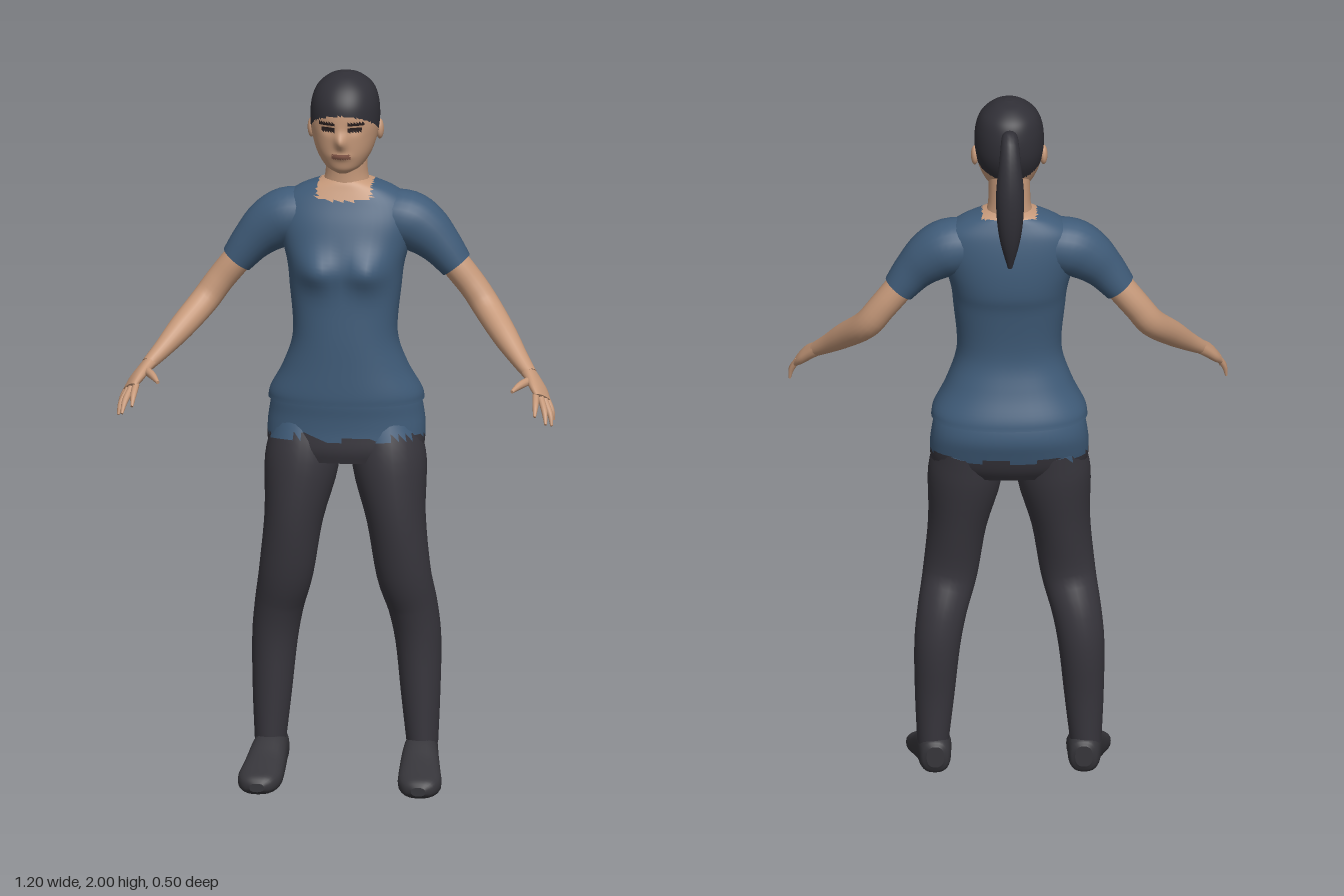
import * as THREE from 'three';

const mat = (name, color) => Object.assign(new THREE.MeshStandardMaterial({ color }), { name });
const V = (x, y, z) => new THREE.Vector3(x, y, z);

// Smooth loft through rows of [x, y, z, a, b]: b lies along ref, a across it.
// dir fixes the ring plane, warp moves points, paint picks a material per face.
function loft(rows, { ref = V(0, 0, 1), dir, exp = 2, segs = 20, steps = 4, warp, paint } = {}) {
  const path = new THREE.CatmullRomCurve3(rows.map(r => V(r[0], r[1], r[2])), false, 'catmullrom');
  const size = new THREE.CatmullRomCurve3(rows.map(r => V(r[3], r[4], 0)), false, 'catmullrom');
  const n = (rows.length - 1) * steps;
  const pos = [], tris = [];
  const bend = v => Math.sign(v) * Math.abs(v) ** (2 / exp);
  const addRing = i => {
    const t = i / n, c = path.getPoint(t), s = size.getPoint(t);
    const T = dir || path.getTangent(t);
    const B = ref.clone().addScaledVector(T, -ref.dot(T)).normalize();
    const N = B.clone().cross(T);
    for (let j = 0; j < segs; j++) {
      const q = j / segs * Math.PI * 2;
      const p = c.clone().addScaledVector(N, s.x * bend(Math.cos(q))).addScaledVector(B, s.y * bend(Math.sin(q)));
      if (warp) warp(p);
      pos.push(p.x, p.y, p.z);
    }
    return c;
  };
  for (let i = 0; i <= n; i++) addRing(i);
  for (let i = 0; i < n; i++) for (let j = 0; j < segs; j++) {
    const a = i * segs + j, b = i * segs + (j + 1) % segs;
    tris.push([a, b, a + segs], [b, b + segs, a + segs]);
  }
  for (const end of [0, n]) {
    const base = pos.length / 3, c = addRing(end), mid = base + segs;
    pos.push(c.x, c.y, c.z);
    for (let j = 0; j < segs; j++) {
      const a = base + j, b = base + (j + 1) % segs;
      tris.push(end ? [a, b, mid] : [b, a, mid]);
    }
  }
  const g = new THREE.BufferGeometry();
  g.setAttribute('position', new THREE.Float32BufferAttribute(pos, 3));
  if (paint) {
    const bins = [];
    for (const t of tris) {
      const m = [0, 1, 2].map(k => (pos[t[0] * 3 + k] + pos[t[1] * 3 + k] + pos[t[2] * 3 + k]) / 3);
      (bins[paint(...m)] ||= []).push(...t);
    }
    const index = [];
    bins.forEach((list, k) => {
      g.addGroup(index.length, list.length, k);
      for (const v of list) index.push(v);
    });
    g.setIndex(index);
  } else g.setIndex(tris.flat());
  g.computeVertexNormals();
  return g;
}

// Upright body section from rows of [y, halfWidth, zFront, zBack], top first
const upright = (rows, opts) => loft(
  rows.map(([y, w, f, b]) => [0, y, (f + b) / 2, w, (f - b) / 2]), { dir: V(0, -1, 0), ...opts });

export function createModel() {
  const root = new THREE.Group();
  root.name = 'standingWoman';
  const shirt = mat('shirtBlue', 0x3f5b78), trousers = mat('trousersCharcoal', 0x38363d);
  const hair = mat('hairBlack', 0x302f36), shoe = mat('shoeCharcoal', 0x36353a);
  const skin = mat('skin', 0xc6997a), dark = mat('eyeDark', 0x2a2020), lip = mat('lipBrown', 0x87594a);
  const add = (name, geo, material, parent = root) => {
    const m = new THREE.Mesh(geo, material);
    m.name = name;
    parent.add(m);
    return m;
  };

  // Head: hairline, eyes, brows and lips are painted face by face
  add('head', upright([
    [1.999, .012, -.04, -.066], [1.988, .045, -.002, -.108], [1.96, .077, .034, -.145],
    [1.92, .092, .058, -.16], [1.87, .095, .064, -.162], [1.83, .09, .061, -.152],
    [1.79, .078, .058, -.13], [1.76, .062, .052, -.11], [1.742, .044, .045, -.075], [1.73, .02, .03, -.035],
  ], {
    segs: 72, steps: 8, exp: 2.1,
    warp: p => {
      if (p.z < 0) return;
      p.z += .022 * Math.exp(-((p.x / .014) ** 2) - ((p.y - 1.825) / .022) ** 2);   // nose
      p.z -= .007 * Math.exp(-(((Math.abs(p.x) - .036) / .018) ** 2) - ((p.y - 1.858) / .014) ** 2); // sockets
      p.z += .006 * Math.exp(-((p.x / .025) ** 2) - ((p.y - 1.782) / .01) ** 2);    // lips
    },
    paint: (x, y, z) => {
      const ax = Math.abs(x);
      if (y > 1.83 + (z + .06) * .55) return 1;
      if (z > 0 && ax > .02 && ax < .054 && y > 1.852 && y < 1.864) return 2;
      if (z > 0 && ax > .016 && ax < .062 && y > 1.871 && y < 1.878) return 2;
      if (z > 0 && ax < .025 && y > 1.775 && y < 1.789) return 3;
      return 0;
    },
  }), [skin, hair, dark, lip]);
  add('neck', upright([[1.8, .056, -.025, -.135], [1.74, .057, -.028, -.14], [1.7, .06, -.03, -.145], [1.65, .075, -.03, -.15]]), skin);

  // Ponytail with a tie at the back of the head
  add('ponytail', loft([
    [0, 1.925, -.15, .022, .022], [0, 1.925, -.18, .022, .024], [0, 1.87, -.205, .026, .03],
    [0, 1.79, -.214, .036, .038], [0, 1.71, -.217, .036, .036], [0, 1.64, -.217, .026, .026], [0, 1.565, -.213, .005, .006],
  ], { ref: V(1, 0, 0), segs: 16 }), hair);

  // Shirt body with an open collar
  add('shirtBody', upright([
    [1.695, .055, -.035, -.14], [1.685, .085, -.028, -.155], [1.665, .135, -.02, -.165], [1.63, .18, -.005, -.178],
    [1.58, .19, .018, -.188], [1.52, .176, .038, -.193], [1.46, .16, .05, -.19], [1.4, .153, .053, -.175],
    [1.27, .143, .06, -.16], [1.18, .17, .062, -.182], [1.11, .207, .063, -.21], [1.08, .214, .061, -.217],
  ], {
    segs: 48, steps: 5, exp: 2.3,
    warp: p => {
      if (p.z > -.05) p.z += .032 * Math.exp(-(((Math.abs(p.x) - .07) / .055) ** 2) - ((p.y - 1.455) / .05) ** 2);
    },
    paint: (x, y, z) => (Math.abs(x) < .075 && y > 1.665 - (z + .09) * .28 ? 1 : 0),
  }), [shirt, skin]);

  // Hips: shirt colour ends in an uneven line over the trousers
  const waistline = (x, y, z) => (y < .982 + .008 * Math.sin(x * 45) + .1 * Math.max(0, z) ? 1 : 0);
  const hipMats = [shirt, trousers];
  add('hips', upright([
    [1.12, .19, .045, -.195], [1.08, .205, .047, -.21], [1.04, .213, .043, -.215], [1, .217, .042, -.205],
    [.95, .214, .044, -.188], [.915, .195, .035, -.165],
  ], { segs: 40, steps: 4, exp: 2.2, paint: waistline }), hipMats);

  for (const s of [1, -1]) {
    const side = new THREE.Group();
    side.name = s > 0 ? 'leftLimbs' : 'rightLimbs';
    root.add(side);
    const limb = (name, rows, m, { ref = V(0, 0, 1), ...o } = {}) =>
      add(name, loft(rows.map(([x, ...r]) => [x * s, ...r]), { ref: V(ref.x * s, ref.y, ref.z), ...o }), m, side);

    const ear = add('ear', new THREE.SphereGeometry(1, 14, 10), skin, side);
    ear.scale.set(.011, .028, .018);
    ear.position.set(s * .094, 1.838, -.06);

    limb('sleeve', [
      [.1, 1.585, -.09, .075, .075], [.165, 1.578, -.09, .08, .08], [.215, 1.55, -.088, .073, .07],
      [.26, 1.508, -.085, .058, .057], [.302, 1.455, -.085, .046, .049],
    ], shirt, { segs: 24 });

    limb('arm', [
      [.25, 1.52, -.085, .038, .04], [.302, 1.455, -.085, .04, .043], [.35, 1.395, -.083, .039, .041],
      [.39, 1.34, -.066, .039, .04], [.445, 1.28, .004, .035, .036], [.49, 1.232, .06, .026, .028],
      [.525, 1.198, .102, .019, .023],
    ], skin);

    // Hand: flat palm and five tapered fingers
    const across = V(.4, -.3, -.87);
    limb('palm', [
      [.517, 1.205, .092, .018, .022], [.535, 1.187, .115, .016, .028], [.553, 1.166, .143, .015, .035],
      [.568, 1.145, .17, .011, .033],
    ], skin, { ref: across, exp: 2.4 });
    const fingers = {
      thumb: [[.533, 1.187, .12], [.507, 1.182, .168], [.487, 1.172, .208], .012],
      indexFinger: [[.55, 1.157, .18], [.553, 1.137, .216], [.554, 1.112, .247], .0095],
      middleFinger: [[.563, 1.148, .173], [.577, 1.118, .208], [.583, 1.088, .234], .0095],
      ringFinger: [[.572, 1.143, .162], [.59, 1.108, .188], [.596, 1.078, .204], .009],
      littleFinger: [[.575, 1.147, .146], [.592, 1.112, .16], [.597, 1.085, .164], .008],
    };
    for (const [name, [a, b, c, r]] of Object.entries(fingers))
      limb(name, [[...a, r, r], [...b, r * .9, r * .9], [...c, r * .4, r * .4]], skin, { segs: 10 });

    limb('leg', [
      [.112, 1, -.08, .09, .105], [.121, .9, -.06, .102, .112], [.141, .75, -.043, .081, .097],
      [.161, .6, -.042, .075, .074], [.183, .5, -.072, .068, .074], [.197, .4, -.085, .063, .07],
      [.204, .25, -.08, .054, .058], [.209, .11, -.078, .043, .052],
    ], hipMats, { segs: 28, paint: waistline });

    limb('shoe', [
      [.203, .085, -.14, .024, .03], [.204, .083, -.122, .042, .05], [.207, .08, -.05, .049, .056],
      [.214, .053, .03, .057, .042], [.22, .035, .09, .06, .034], [.222, .028, .128, .046, .026],
      [.222, .024, .146, .02, .012],
    ], shoe, { ref: V(0, 1, 0), dir: V(0, 0, 1), exp: 2.5, segs: 24 });
  }
  return root;
}
